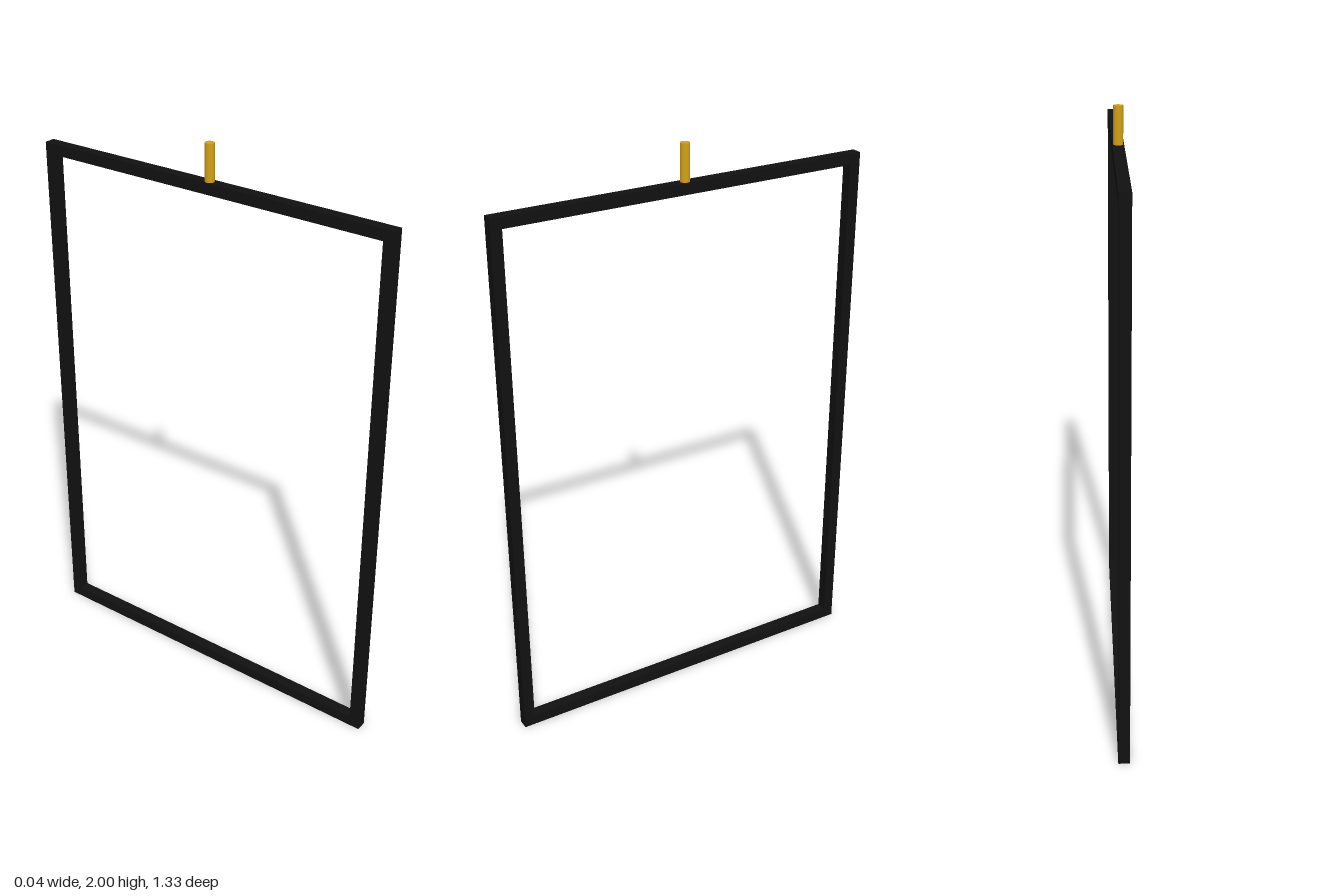
import * as THREE from 'three';

const BAR = 0.038;    // square section of the frame bars
const WIDTH = 1.334;  // along z
const HEIGHT = 1.876;

export function createModel() {
  const model = new THREE.Group();
  const black = new THREE.MeshStandardMaterial({ color: 0x111111 });
  const gold = new THREE.MeshStandardMaterial({ color: 0xd4a017 });

  function add(name, geometry, material, y, z) {
    const mesh = new THREE.Mesh(geometry, material);
    mesh.name = name;
    mesh.position.set(0, y, z);
    model.add(mesh);
  }

  // Upright bars at the front and back ends
  for (const [name, side] of [['frontPost', 1], ['backPost', -1]]) {
    add(name, new THREE.BoxGeometry(BAR, HEIGHT, BAR), black, HEIGHT / 2, side * (WIDTH - BAR) / 2);
  }

  // Horizontal bars fitted between the uprights
  for (const [name, y] of [['bottomRail', BAR / 2], ['topRail', HEIGHT - BAR / 2]]) {
    add(name, new THREE.BoxGeometry(BAR, BAR, WIDTH - 2 * BAR), black, y, 0);
  }

  // Round hanging pin standing on the top rail
  const pinHeight = 2 - HEIGHT;
  add('hangingPin', new THREE.CylinderGeometry(0.016, 0.016, pinHeight, 24), gold, HEIGHT + pinHeight / 2, 0);

  return model;
}
